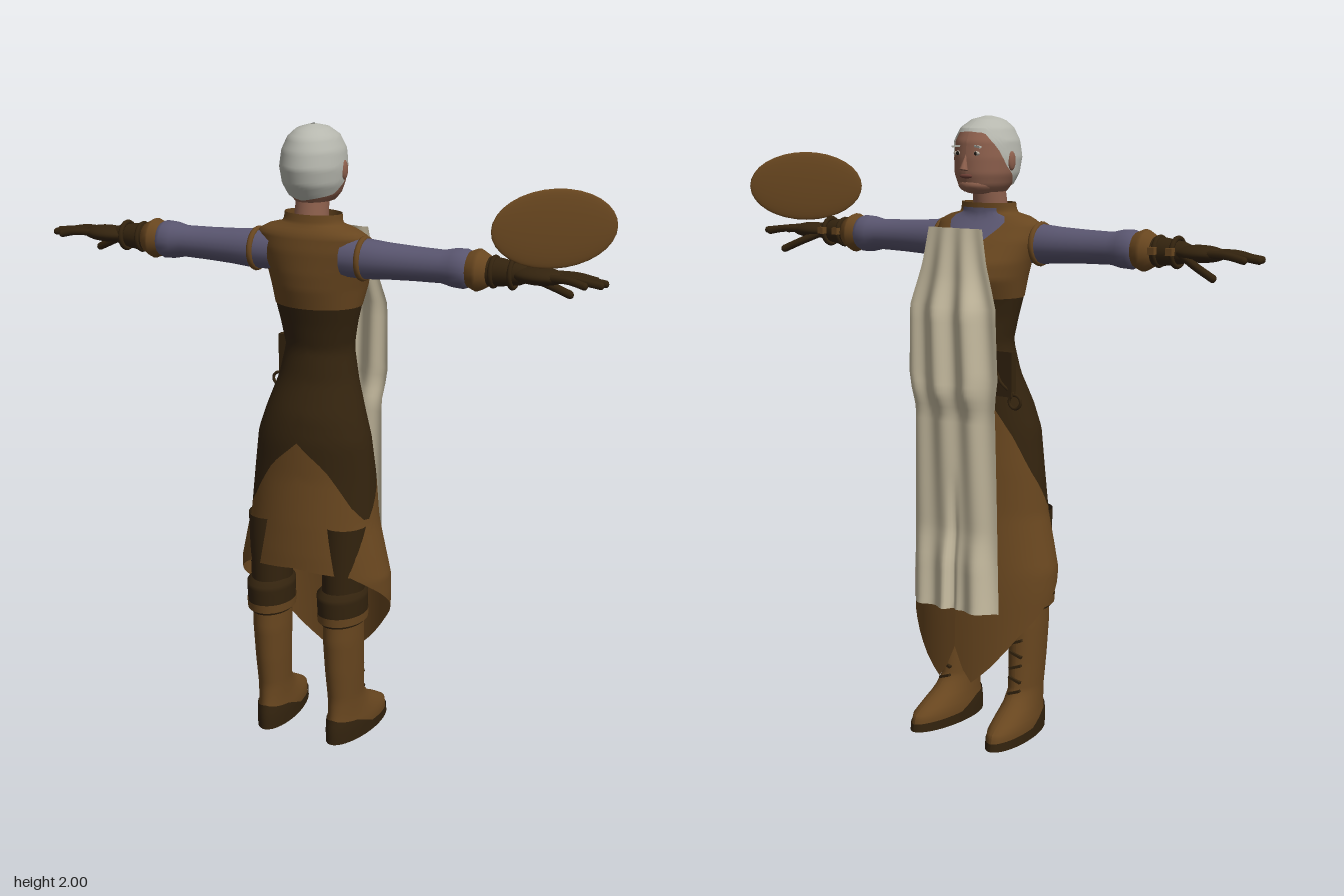
import * as THREE from 'three';

const mat = (name, color, side = THREE.DoubleSide) => Object.assign(new THREE.MeshStandardMaterial({ color, side }), { name });
const M = {
  brown: mat('leatherBrown', 0x68461f), dark: mat('darkLeather', 0x33230e), cream: mat('creamCloth', 0xcabfa3),
  hair: mat('greyHair', 0xb6b7ae), sleeve: mat('slateSleeve', 0x5a5670), skin: mat('skin', 0x8c5f4c),
  lips: mat('lips', 0x6d3f35), eye: mat('eyeWhite', 0xb9aea0), pupil: mat('pupil', 0x1c1712),
};

const add = (parent, name, geo, material, pos = [0, 0, 0], rot = [0, 0, 0], scale = [1, 1, 1]) => {
  const m = new THREE.Mesh(geo, material);
  m.name = name;
  m.position.set(...pos); m.rotation.set(...rot); m.scale.set(...scale);
  parent.add(m);
  return m;
};

// Linear lookup in rows sorted by their first value
function sample(rows, k) {
  if (k <= rows[0][0]) return rows[0].slice(1);
  for (let i = 1; i < rows.length; i++) {
    if (k <= rows[i][0]) {
      const a = rows[i - 1], b = rows[i], f = (k - a[0]) / (b[0] - a[0]);
      return a.slice(1).map((v, j) => v + (b[j + 1] - v) * f);
    }
  }
  return rows[rows.length - 1].slice(1);
}
const edge = (rows) => (t) => sample(rows, t)[0];

// Skin around a body profile [y, halfWidth, zBack, zFront]; top and bottom edges
// depend on t (0 = back, 1 = front)
function patch(profile, top, bottom, { grow = 0, from = -Math.PI, to = Math.PI, n = 48, rows = 28 } = {}) {
  const pos = [], idx = [];
  const at = (e, t) => (typeof e === 'number' ? e : e(t));
  for (let j = 0; j <= rows; j++) {
    for (let i = 0; i <= n; i++) {
      const a = from + (to - from) * i / n, t = Math.abs(a) / Math.PI;
      const tt = t > 1 ? 2 - t : t;
      const y = at(top, tt) + (at(bottom, tt) - at(top, tt)) * j / rows;
      const [rx, zb, zf] = sample(profile, y);
      pos.push((rx + grow) * Math.sin(a), y, (zb + zf) / 2 + ((zb - zf) / 2 + grow) * Math.cos(a));
      if (i < n && j < rows) {
        const p = j * (n + 1) + i, q = p + n + 1;
        idx.push(p, q, p + 1, p + 1, q, q + 1);
      }
    }
  }
  const g = new THREE.BufferGeometry();
  g.setAttribute('position', new THREE.Float32BufferAttribute(pos, 3));
  g.setIndex(idx);
  g.computeVertexNormals();
  return g;
}

const tube = (pts, r, seg = 12) =>
  new THREE.TubeGeometry(new THREE.CatmullRomCurve3(pts.map((p) => new THREE.Vector3(...p))), seg, r, 8);
const lathe = (pts) => new THREE.LatheGeometry(pts.map(([x, r]) => new THREE.Vector2(r, x)), 20);

const BODY = [
  [0.2, 0.24, 0.14, -0.157], [0.4, 0.25, 0.17, -0.15], [0.5, 0.258, 0.185, -0.145], [0.57, 0.258, 0.19, -0.138],
  [0.65, 0.24, 0.187, -0.13], [0.75, 0.218, 0.18, -0.12], [0.9, 0.205, 0.165, -0.11], [1.02, 0.19, 0.163, -0.1],
  [1.1, 0.165, 0.148, -0.1], [1.2, 0.132, 0.105, -0.1], [1.3, 0.112, 0.085, -0.1], [1.38, 0.126, 0.1, -0.1],
  [1.44, 0.14, 0.115, -0.11], [1.5, 0.153, 0.13, -0.14], [1.55, 0.165, 0.135, -0.13], [1.62, 0.182, 0.135, -0.08],
  [1.67, 0.18, 0.128, -0.035], [1.69, 0.14, 0.115, -0.02], [1.7, 0.095, 0.105, -0.02], [1.73, 0.092, 0.1, -0.02],
];
const HEAD = [
  [1.765, 0.06, 0.09, -0.07], [1.785, 0.076, 0.105, -0.088], [1.82, 0.091, 0.128, -0.098], [1.87, 0.096, 0.14, -0.098],
  [1.92, 0.09, 0.131, -0.093], [1.96, 0.071, 0.112, -0.072], [1.985, 0.042, 0.08, -0.03], [1.996, 0.002, 0.03, 0.022],
];
const BOOT = [
  [0, 0.058, 0.163, -0.172], [0.05, 0.06, 0.163, -0.165], [0.08, 0.056, 0.156, -0.115], [0.11, 0.052, 0.152, -0.055],
  [0.15, 0.05, 0.15, -0.015], [0.25, 0.055, 0.162, -0.005], [0.36, 0.06, 0.17, 0], [0.45, 0.062, 0.165, 0.01],
  [0.75, 0.075, 0.165, 0.0],
];

function buildDress(g) {
  const hem = edge([[0, 0.61], [0.25, 0.59], [0.4, 0.53], [0.55, 0.46], [0.7, 0.37], [0.85, 0.25], [0.93, 0.2], [1, 0.32]]);
  const wrap = edge([[0, 1.02], [0.15, 0.94], [0.3, 0.81], [0.4, 0.76], [0.6, 0.9], [0.8, 1.1], [1, 1.15]]);
  add(g, 'bodice', patch(BODY, 1.73, 1.44, { grow: 0.002 }), M.brown);
  add(g, 'corset', patch(BODY, 1.445, wrap), M.dark);
  add(g, 'skirt', patch(BODY, wrap, hem), M.brown);
  add(g, 'shirtFront', patch(BODY, 1.715, edge([[0.78, 1.69], [1, 1.56]]),
    { grow: 0.005, from: Math.PI * 0.78, to: Math.PI * 1.22, n: 16, rows: 10 }), M.sleeve);
}

function buildCloth(g) {
  // Hanging front cloth with soft folds and a forward bulge at the chest
  const geo = new THREE.PlaneGeometry(2, 1, 40, 50);
  const p = geo.attributes.position;
  const width = [[0.45, 0.16], [0.8, 0.155], [1.1, 0.15], [1.2, 0.165], [1.42, 0.16], [1.55, 0.12], [1.66, 0.1]];
  const depth = [[0.45, 0.055], [0.6, 0.045], [0.7, 0.025], [1.08, 0.03], [1.15, 0.06], [1.4, 0.062], [1.5, 0.035], [1.66, 0.01]];
  for (let i = 0; i < p.count; i++) {
    const u = p.getX(i), y = 1.055 + p.getY(i) * 1.21;
    const d = sample(depth, y)[0];
    const fold = 0.75 - 0.6 * Math.abs(u) ** 3 + 0.22 * Math.cos(u * 9 + y * 2);
    const groove = y < 0.9 ? 0.03 * Math.exp(-u * u * 150) * (0.9 - y) / 0.45 : 0;
    p.setXYZ(i, -u * sample(width, y)[0], y, -0.14 - d * fold + groove);
  }
  geo.computeVertexNormals();
  add(g, 'frontCloth', geo, M.cream);
}

function buildHead(g) {
  const head = new THREE.Group();
  head.name = 'head';
  head.position.x = -0.008;
  g.add(head);
  add(head, 'neck', new THREE.CylinderGeometry(0.05, 0.056, 0.14, 20), M.skin, [0, 1.735, 0.035], [-0.15, 0, 0]);
  add(head, 'face', patch(HEAD, 1.97, 1.765), M.skin);
  add(head, 'jaw', new THREE.SphereGeometry(1, 20, 12), M.skin, [0, 1.787, -0.025], [0, 0, 0], [0.062, 0.03, 0.07]);
  const hairline = edge([[0, 1.772], [0.4, 1.79], [0.5, 1.82], [0.6, 1.85], [0.68, 1.9], [0.8, 1.945], [1, 1.95]]);
  add(head, 'hair', patch(HEAD, 1.996, hairline, { grow: 0.005 }), M.hair);
  add(head, 'nose', new THREE.ConeGeometry(0.014, 0.05, 8), M.skin, [0, 1.858, -0.102], [0.25, 0, 0]);
  add(head, 'mouth', new THREE.SphereGeometry(1, 12, 8), M.lips, [0, 1.815, -0.096], [0, 0, 0], [0.024, 0.007, 0.007]);
  for (const s of [-1, 1]) {
    add(head, 'ear', new THREE.SphereGeometry(1, 12, 8), M.skin, [s * 0.097, 1.86, 0.01], [0, 0, 0], [0.01, 0.03, 0.018]);
    add(head, 'eye', new THREE.SphereGeometry(1, 12, 8), M.eye, [s * 0.034, 1.884, -0.089], [0, s * 0.3, 0], [0.015, 0.007, 0.006]);
    add(head, 'pupil', new THREE.SphereGeometry(0.006, 10, 8), M.pupil, [s * 0.034, 1.884, -0.092]);
    add(head, 'brow', new THREE.BoxGeometry(0.036, 0.006, 0.008), M.hair, [s * 0.036, 1.905, -0.089], [0, s * 0.35, s * -0.1]);
  }
}

function buildArm(g, s) {
  const arm = new THREE.Group();
  arm.name = s > 0 ? 'leftArm' : 'rightArm';
  arm.position.set(0, 1.605, 0.062);
  g.add(arm);
  const turn = [0, 0, -s * Math.PI / 2];
  add(arm, 'sleeve', lathe([[0.12, 0.06], [0.19, 0.062], [0.26, 0.056], [0.35, 0.052], [0.44, 0.05], [0.475, 0.058],
    [0.51, 0.06], [0.535, 0.05], [0.54, 0.03]]), M.sleeve, [0, 0, 0], turn);
  add(arm, 'armhole', new THREE.TorusGeometry(0.06, 0.01, 8, 24), M.brown, [s * 0.182, 0, 0], [0, Math.PI / 2, 0]);
  add(arm, 'gloveCuff', lathe([[0.52, 0.052], [0.55, 0.064], [0.56, 0.06], [0.585, 0.046], [0.59, 0.03]]), M.brown, [0, 0, 0], turn);
  add(arm, 'gloveWrist', lathe([[0.55, 0.045], [0.62, 0.042], [0.68, 0.033], [0.7, 0.025]]), M.dark, [0, 0, 0], turn);
  for (const x of [0.6, 0.66]) {
    add(arm, 'wristStrap', new THREE.TorusGeometry(0.042, 0.008, 8, 20), M.dark, [s * x, 0, 0], [0, Math.PI / 2, 0]);
    add(arm, 'buckle', new THREE.BoxGeometry(0.022, 0.022, 0.02), M.brown, [s * x, 0.005, -0.05]);
  }
  add(arm, 'palm', new THREE.SphereGeometry(1, 20, 14), M.dark, [s * 0.735, 0, 0], [0, 0, 0], [0.085, 0.026, 0.052]);
  [[-0.04, 0.895], [-0.014, 0.93], [0.012, 0.925], [0.037, 0.885]].forEach(([z, tip]) => {
    add(arm, 'finger', tube([[s * 0.76, 0.003, z * 0.75], [s * 0.84, 0.002, z], [s * tip, -0.008, z * 1.1]], 0.0115), M.dark);
    add(arm, 'fingertip', new THREE.SphereGeometry(0.0115, 8, 6), M.dark, [s * tip, -0.008, z * 1.1]);
  });
  add(arm, 'thumb', tube([[s * 0.69, -0.008, -0.025], [s * 0.75, -0.035, -0.052], [s * 0.81, -0.062, -0.068]], 0.0125), M.dark);
  add(arm, 'thumbTip', new THREE.SphereGeometry(0.0125, 8, 6), M.dark, [s * 0.81, -0.062, -0.068]);
}

function buildLeg(g, s) {
  const leg = new THREE.Group();
  leg.name = s > 0 ? 'leftLeg' : 'rightLeg';
  leg.position.x = s * 0.137;
  leg.rotation.y = -s * 0.09;
  g.add(leg);
  const welt = edge([[0, 0.085], [0.35, 0.07], [0.5, 0.035], [1, 0.025]]);
  add(leg, 'trouserLeg', patch(BOOT, 0.75, 0.44, { rows: 6 }), M.dark);
  add(leg, 'boot', patch(BOOT, 0.47, 0.02), M.brown);
  add(leg, 'bootSole', patch(BOOT, welt, 0, { grow: 0.004, rows: 4 }), M.dark);
  add(leg, 'soleBottom', new THREE.CircleGeometry(1, 32), M.dark, [0, 0.001, -0.0045], [Math.PI / 2, 0, 0], [0.062, 0.171, 1]);
  add(leg, 'bootCuff', patch([[0.42, 0.066, 0.18, -0.005], [0.44, 0.073, 0.19, -0.008], [0.52, 0.076, 0.195, -0.008],
    [0.535, 0.062, 0.175, 0.005]], 0.535, 0.42, { rows: 8 }), M.dark);
  add(leg, 'cuffBand', patch([[0.43, 0.075, 0.19, -0.01], [0.46, 0.077, 0.193, -0.01]], 0.458, 0.43, { rows: 1 }), M.brown);
  for (let i = 0; i < 6; i++) {
    const y = 0.15 + i * 0.042;
    add(leg, 'bootLace', new THREE.BoxGeometry(0.045, 0.008, 0.012), M.dark, [0, y, sample(BOOT, y)[2] - 0.001], [0, 0, i % 2 ? 0.35 : -0.35]);
  }
}

export function createModel() {
  const g = new THREE.Group();
  g.name = 'robedFigure';
  buildDress(g);
  buildCloth(g);
  buildHead(g);
  for (const s of [-1, 1]) {
    buildArm(g, s);
    buildLeg(g, s);
  }
  // Oval plate floating above the left hand
  add(g, 'ovalPlate', new THREE.SphereGeometry(1, 40, 16), M.brown, [0.785, 1.75, 0.082], [0, 0.665, 0], [0.19, 0.115, 0.013]);
  // Hip book with its cord and ring
  add(g, 'hipBook', new THREE.BoxGeometry(0.08, 0.14, 0.025), M.dark, [-0.16, 1.22, -0.118]);
  add(g, 'hipCord', tube([[-0.12, 1.29, -0.1], [-0.16, 1.2, -0.135], [-0.2, 1.16, -0.12]], 0.005), M.dark);
  add(g, 'hipRing', new THREE.TorusGeometry(0.021, 0.005, 8, 20), M.dark, [-0.205, 1.135, -0.118]);
  return g;
}
